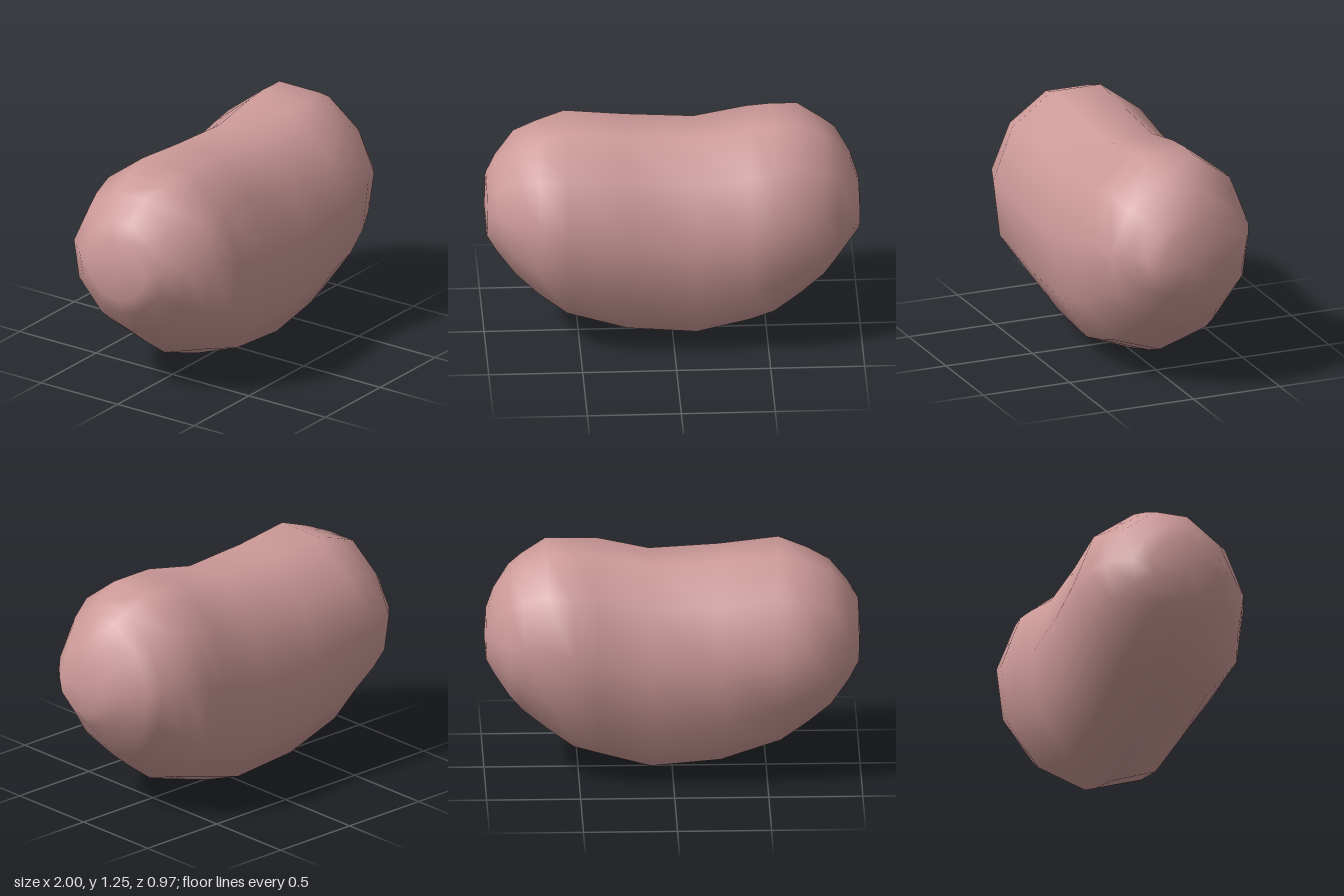
import * as THREE from 'three';

// Cross-sections along the bean: x, bottom, top, half depth, depth offset
const SECTIONS = [
  [-0.99, 0.59, 0.93, 0.19, -0.01],
  [-0.94, 0.5, 1.02, 0.275, -0.02],
  [-0.84, 0.36, 1.14, 0.375, -0.03],
  [-0.72, 0.26, 1.19, 0.44, -0.01],
  [-0.57, 0.15, 1.24, 0.485, 0],
  [-0.25, 0.035, 1.21, 0.46, -0.01],
  [0.12, 0.0, 1.19, 0.45, -0.01],
  [0.4, 0.08, 1.245, 0.475, 0],
  [0.53, 0.125, 1.25, 0.48, -0.01],
  [0.67, 0.23, 1.255, 0.455, -0.01],
  [0.8, 0.335, 1.18, 0.4, -0.01],
  [0.87, 0.42, 1.13, 0.35, -0.02],
  [0.95, 0.54, 1.0, 0.25, 0],
  [0.99, 0.61, 0.88, 0.17, 0.03],
];
const SIDES = 11;

// One point on a section: a ridge at the bottom, leaner towards the ends
function sectionPoint([x, bottom, top, depth, offset], j) {
  const a = (j / SIDES) * Math.PI * 2;
  const c = -Math.cos(a), s = Math.sin(a);
  const lean = 0.97 + 0.25 * THREE.MathUtils.smoothstep(Math.abs(x), 0.6, 1);
  const up = c > 0 ? Math.pow(c / Math.cos(Math.PI / SIDES), lean) : c;
  const out = Math.sign(s) * Math.pow(Math.abs(s), lean);
  return [x, (bottom + top) / 2 + up * (top - bottom) / 2, offset + out * depth];
}

function beanGeometry() {
  const positions = [], index = [];
  const rings = SECTIONS.length;
  for (const section of SECTIONS)
    for (let j = 0; j < SIDES; j++) positions.push(...sectionPoint(section, j));

  // Skin between neighbouring sections
  for (let i = 0; i < rings - 1; i++) {
    for (let j = 0; j < SIDES; j++) {
      const k = (j + 1) % SIDES;
      const a = i * SIDES + j, b = i * SIDES + k;
      const c = a + SIDES, d = b + SIDES;
      index.push(a, c, b, b, c, d);
    }
  }

  // Blunt end caps
  const first = rings * SIDES, last = (rings - 1) * SIDES;
  positions.push(-1, 0.76, -0.01, 1, 0.75, 0);
  for (let j = 0; j < SIDES; j++) {
    const k = (j + 1) % SIDES;
    index.push(first, j, k, first + 1, last + k, last + j);
  }

  const geometry = new THREE.BufferGeometry();
  geometry.setAttribute('position', new THREE.Float32BufferAttribute(positions, 3));
  geometry.setIndex(index);
  geometry.computeVertexNormals();
  return geometry;
}

export function createModel() {
  const group = new THREE.Group();
  group.name = 'bean';
  const body = new THREE.Mesh(beanGeometry(), new THREE.MeshStandardMaterial({ color: 0xcc9a98 }));
  body.name = 'beanBody';
  group.add(body);
  return group;
}
